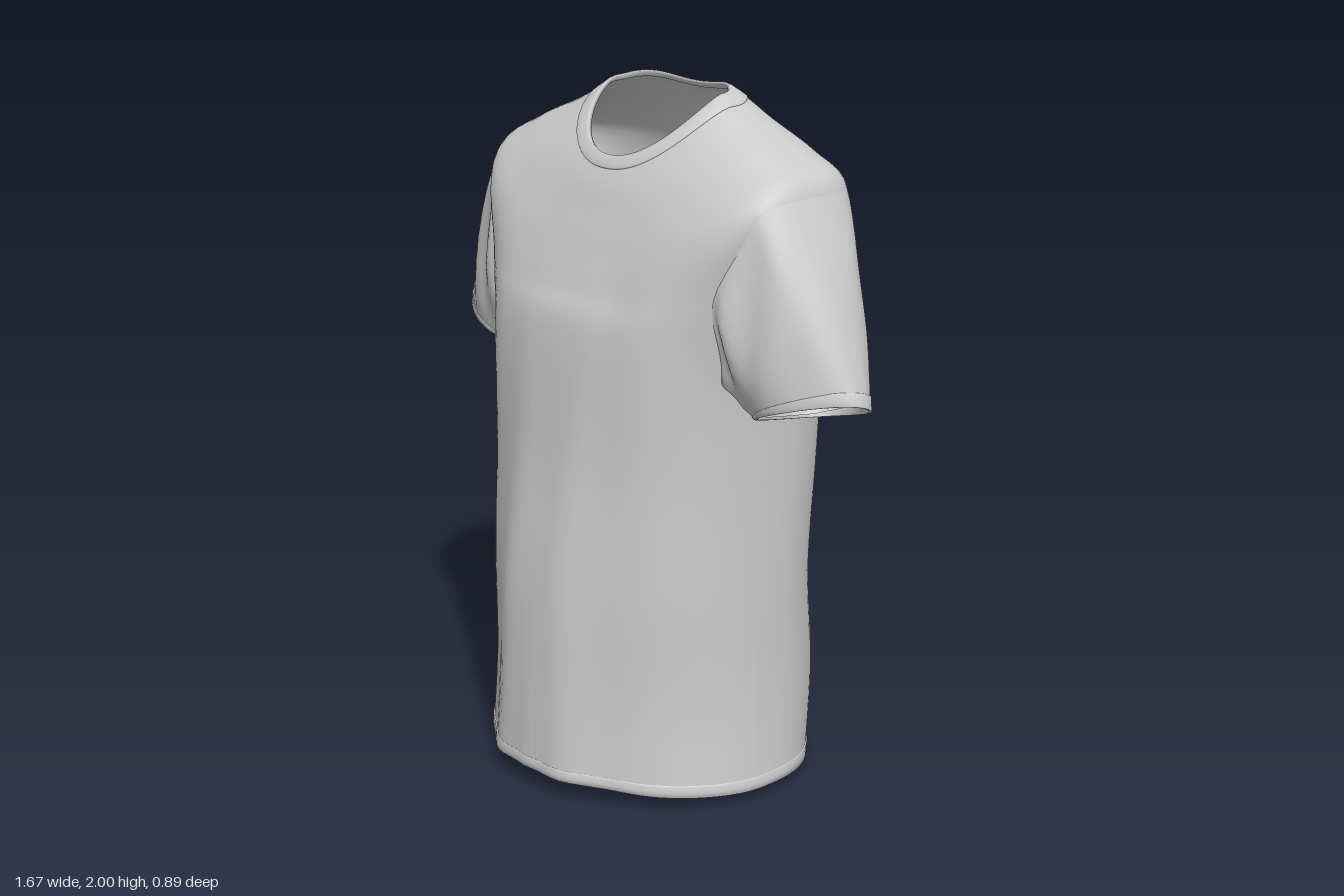
import * as THREE from 'three';

const COLS = 96, STEP = 6, HOLE = 10;     // columns round the body, rows per key, armhole half width
const ARMPIT = 4, SHOULDER = 6;           // keys between which the armhole lies

// Body rings from hem to neck:
// half width, side y, side z, front y, front z, back y, back z, front roundness, back roundness, column pinch
const KEYS = [
  [0.505, 0.03, -0.02, 0.06, 0.44, 0.00, -0.43, 1.8, 2.4, 0],
  [0.485, 0.30, -0.03, 0.30, 0.43, 0.30, -0.445, 1.8, 2.6, 0],
  [0.48, 0.60, -0.04, 0.60, 0.412, 0.60, -0.42, 1.95, 2.6, 0],
  [0.475, 0.95, -0.05, 0.98, 0.357, 0.95, -0.437, 2.3, 2.8, 0.1],
  [0.48, 1.24, -0.07, 1.34, 0.315, 1.30, -0.437, 2.9, 3.0, 0.34],
  [0.535, 1.50, -0.09, 1.46, 0.27, 1.50, -0.412, 3.1, 3.0, 0.08],
  [0.605, 1.757, -0.10, 1.58, 0.22, 1.73, -0.37, 3.0, 3.0, 0.2],
  [0.49, 1.85, -0.10, 1.66, 0.185, 1.81, -0.345, 2.7, 2.7, 0.08],
  [0.35, 1.912, -0.10, 1.73, 0.155, 1.89, -0.305, 2.4, 2.4, 0],
  [0.27, 1.955, -0.10, 1.775, 0.13, 1.95, -0.262, 2.2, 2.2, 0],
  [0.225, 1.985, -0.10, 1.81, 0.11, 1.985, -0.21, 2.1, 2.1, 0],
];
const LAST = KEYS.length - 1;

// Smooth value of one key column at t
function keyAt(t, c) {
  const i = Math.min(Math.floor(t), LAST - 1), f = t - i;
  const k = n => KEYS[Math.max(0, Math.min(LAST, n))][c];
  const a = k(i - 1), b = k(i), d = k(i + 1), e = k(i + 2);
  const m0 = (d - a) / 2, m1 = (e - b) / 2;
  return b + f * m0 + f * f * (3 * (d - b) - 2 * m0 - m1) + f * f * f * (2 * (b - d) + m0 + m1);
}

// Point on the body at key position t and column j, pushed out by offset
function bodyPoint(t, j, offset = 0) {
  const [X, ys, zs, yf, zf, yb, zb, nf, nb, pinch] = KEYS[0].map((_, c) => keyAt(t, c));
  const base = j / COLS * Math.PI * 2;
  const a = base - pinch * Math.sin(2 * base);
  const c = Math.cos(a), s = Math.sin(a), front = s >= 0;
  const p = 2 / (front ? nf : nb), S = Math.abs(s);
  const x = X * Math.sign(c) * Math.abs(c) ** p;
  let z = zs + ((front ? zf : zb) - zs) * S ** p;
  // Near the neck the ring dips quickly in front and rises a little behind the shoulders
  const neck = Math.max(0, (t - SHOULDER) / (LAST - SHOULDER));
  const y = ys + (front ? (yf - ys) * S ** (2 - 0.7 * neck)
    : (yb - ys) * S * S + 0.014 * neck * Math.sin(2 * a) ** 2);
  // Long soft folds that fade towards the chest
  const fade = Math.max(0, 1 - t / 7) * S * S;
  z += front ? -0.012 * fade * Math.cos(23 * x + 0.4 * t * Math.sign(x)) * Math.min(1, Math.abs(x) * 8)
    : 0.03 * fade * Math.cos(12.5 * x);
  return new THREE.Vector3(x + c * offset, y + (t > 7 ? offset : 0), z + s * offset);
}

const cloth = new THREE.MeshStandardMaterial({ color: 0xcccccc, side: THREE.DoubleSide });

// Closed-round grid of rows x cols; skip(i, j) leaves quads out
function loft(name, rows, cols, point, skip = () => false) {
  const pos = [], index = [];
  for (let i = 0; i <= rows; i++)
    for (let j = 0; j < cols; j++) pos.push(...point(i, j).toArray());
  for (let i = 0; i < rows; i++)
    for (let j = 0; j < cols; j++) {
      if (skip(i, j)) continue;
      const a = i * cols + j, b = i * cols + (j + 1) % cols;
      index.push(a, a + cols, b, b, a + cols, b + cols);
    }
  const g = new THREE.BufferGeometry();
  g.setAttribute('position', new THREE.Float32BufferAttribute(pos, 3));
  g.setIndex(index);
  g.computeVertexNormals();
  const mesh = new THREE.Mesh(g, cloth);
  mesh.name = name;
  return mesh;
}

// Edge loop of the left armhole: over the top, down the back, under, up the front
function armholeLoop() {
  const r0 = ARMPIT * STEP, r1 = SHOULDER * STEP, loop = [];
  const add = (i, j) => loop.push(bodyPoint(i / STEP, j));
  for (let j = HOLE; j > -HOLE; j--) add(r1, j);
  for (let i = r1; i > r0; i--) add(i, -HOLE);
  for (let j = -HOLE; j < HOLE; j++) add(r0, j);
  for (let i = r0; i < r1; i++) add(i, HOLE);
  return loop;
}

function createSleeve() {
  const loop = armholeLoop();
  const box = new THREE.Box3().setFromPoints(loop);
  const mid = box.getCenter(new THREE.Vector3()), size = box.getSize(new THREE.Vector3());
  const point = (s, k, offset = 0) => {
    const start = loop[k];
    const phi = Math.atan2((start.y - mid.y) / size.y, (start.z - mid.z) / size.z);
    const up = Math.sin(phi), fwd = Math.cos(phi);
    // Teardrop cuff, narrow at its outer fold
    const cuff = new THREE.Vector3(0.672 + 0.162 * up, 1.18 + 0.053 * up + 0.03 * fwd,
      -0.063 + 0.17 * fwd * (0.86 - 0.32 * up));
    const out = new THREE.Vector3(0.93 * up, 0.36 * up, fwd);
    // Rounded fullness and slanting creases on the front and back
    const swell = 0.012 * Math.sin(Math.PI * s) * (1 + Math.min(0, up));
    const crease = 0.012 * Math.sin(Math.PI * Math.sqrt(s)) * Math.sin(6 * phi + 9 * s) * (1 - Math.abs(up));
    return start.clone().lerp(cuff, s).addScaledVector(out, swell + crease + offset);
  };
  const sleeve = new THREE.Group();
  sleeve.add(loft('sleeveCloth', 24, loop.length, (i, k) => point(i / 24, k)));
  // Turned cuff: outer band, then folded inside
  const cuffRows = [[0.93, 0], [0.935, 0.003], [0.97, 0.003], [1, 0.003], [1.003, 0], [1, -0.006], [0.93, -0.006]];
  sleeve.add(loft('cuff', cuffRows.length - 1, loop.length, (i, k) => {
    const [s, o] = cuffRows[i];
    return point(s, k, o);
  }));
  return sleeve;
}

// Band that follows the body through [t, offset] rows
const band = (name, rows) =>
  loft(name, rows.length - 1, COLS, (i, j) => bodyPoint(rows[i][0], j, rows[i][1]));

export function createModel() {
  const shirt = new THREE.Group();
  shirt.name = 'tShirt';

  // Body with both armholes left open
  const nearSide = j => j < HOLE || j >= COLS - HOLE;
  shirt.add(loft('body', LAST * STEP, COLS, (i, j) => bodyPoint(i / STEP, j), (i, j) =>
    i >= ARMPIT * STEP && i < SHOULDER * STEP && (nearSide(j) || nearSide((j + COLS / 2) % COLS))));

  // Hem and ribbed neckband
  shirt.add(band('hem', [[0.2, -0.006], [0, -0.006], [0, 0.003], [0.1, 0.003], [0.18, 0.003], [0.2, 0]]));
  shirt.add(band('collar', [[9, 0], [9.04, 0.003], [9.35, 0.003], [9.7, 0.003], [10, 0.001], [10, -0.006], [9.6, -0.008]]));

  // Sleeves
  const left = createSleeve();
  left.name = 'leftSleeve';
  const right = left.clone();
  right.name = 'rightSleeve';
  right.scale.x = -1;
  shirt.add(left, right);
  return shirt;
}
